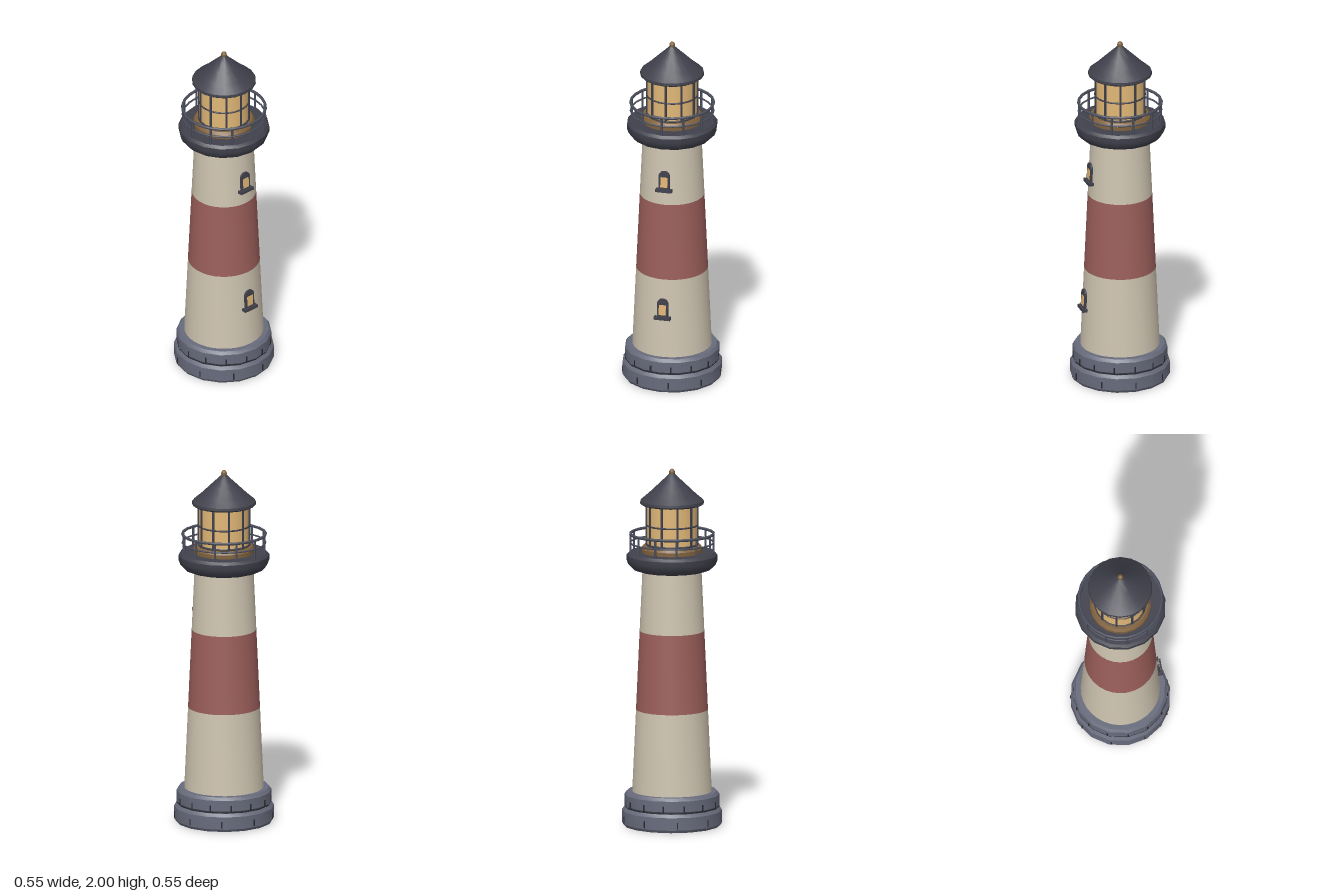
import * as THREE from 'three';
import { toCreasedNormals } from 'three/addons/utils/BufferGeometryUtils.js';

const paint = (name, color) => {
  const m = new THREE.MeshStandardMaterial({ color });
  m.name = name;
  return m;
};

export function createModel() {
  const model = new THREE.Group();
  model.name = 'lighthouse';

  const cream = paint('cream', 0xcfc5b1);
  const red = paint('faded red', 0x9c5f5b);
  const stone = paint('blue grey stone', 0x686b7c);
  const slate = paint('dark slate', 0x41414d);
  const iron = paint('iron', 0x4b4f5d);
  const joint = paint('dark joint', 0x2a2a32);
  const glass = paint('warm glass', 0xe2b877);
  const brass = paint('brass', 0x80623e);

  const add = (name, geometry, material, parent = model) => {
    const mesh = new THREE.Mesh(geometry, material);
    mesh.name = name;
    parent.add(mesh);
    return mesh;
  };

  // Turned part from [radius, y] points listed from bottom to top
  const turned = (name, points, sides, material, crease = 0.5) => {
    const lathe = new THREE.LatheGeometry(points.map(([r, y]) => new THREE.Vector2(r, y)), sides);
    return add(name, toCreasedNormals(lathe, crease), material);
  };

  // Level ring around the axis
  const ring = (name, radius, tube, y, sides, material) => {
    const mesh = add(name, new THREE.TorusGeometry(radius, tube, 8, sides), material);
    mesh.rotation.x = Math.PI / 2;
    mesh.position.y = y;
  };

  // Copies of one geometry around the axis; angle runs from +z towards +x
  const around = (name, count, offset, radius, y, geometry, material) => {
    const group = new THREE.Group();
    group.name = name + 's';
    for (let i = 0; i < count; i++) {
      const a = offset + (i / count) * Math.PI * 2;
      const mesh = add(name, geometry, material, group);
      mesh.position.set(Math.sin(a) * radius, y, Math.cos(a) * radius);
      mesh.rotation.y = a;
    }
    model.add(group);
  };

  // Stone footing in two bevelled tiers with block joints
  turned('lowerFooting', [[0, 0], [0.268, 0], [0.277, 0.015], [0.277, 0.085], [0.265, 0.103], [0, 0.103]], 16, stone);
  turned('footingGroove', [[0.262, 0.098], [0.262, 0.11]], 16, joint);
  turned('upperFooting', [[0, 0.105], [0.255, 0.105], [0.263, 0.115], [0.263, 0.175], [0.25, 0.192], [0, 0.192]], 16, stone);
  const jointBox = new THREE.BoxGeometry(0.007, 0.037, 0.012);
  around('lowerJoint', 9, Math.PI / 2, 0.271, 0.04, jointBox, joint);
  around('upperJoint', 14, Math.PI / 14, 0.257, 0.128, jointBox, joint);

  // Tapering tower in three painted bands
  const towerRadius = y => 0.22 - ((y - 0.19) / 1.25) * 0.057;
  const band = (name, y0, y1, material) =>
    turned(name, [[towerRadius(y0), y0], [towerRadius(y1), y1]], 32, material);
  band('lowerTower', 0.185, 0.65, cream);
  band('redBand', 0.65, 1.092, red);
  band('upperTower', 1.092, 1.45, cream);

  // Arched windows on the front
  const arch = (w, h) => {
    const s = new THREE.Shape();
    s.moveTo(-w, 0);
    s.lineTo(w, 0);
    s.lineTo(w, h);
    s.absarc(0, h, w, 0, Math.PI, false);
    s.lineTo(-w, 0);
    return s;
  };
  for (const y of [0.42, 1.175]) {
    const window = new THREE.Group();
    window.name = 'window';
    window.position.set(0, y, towerRadius(y + 0.06));
    window.rotation.x = -0.045;
    add('windowFrame', new THREE.ExtrudeGeometry(arch(0.031, 0.087),
      { depth: 0.035, bevelEnabled: false, curveSegments: 10 }), slate, window).position.z = -0.022;
    add('windowPane', new THREE.BoxGeometry(0.04, 0.06, 0.004), glass, window).position.set(0, 0.052, 0.013);
    add('windowSill', new THREE.BoxGeometry(0.092, 0.017, 0.045), slate, window).position.set(0, 0.004, 0.003);
    model.add(window);
  }

  // Gallery deck with a rounded underside
  turned('gallery', [[0, 1.433], [0.195, 1.433], [0.222, 1.443], [0.242, 1.463], [0.252, 1.49],
    [0.252, 1.518], [0.238, 1.533], [0, 1.533]], 16, slate, 0.7);

  // Railing
  around('railPost', 12, 0, 0.23, 1.583, new THREE.CylinderGeometry(0.006, 0.006, 0.11, 8), iron);
  ring('topRail', 0.23, 0.008, 1.636, 24, iron);
  ring('middleRail', 0.23, 0.005, 1.586, 24, iron);

  // Lantern room
  turned('lanternBase', [[0, 1.53], [0.17, 1.53], [0.17, 1.555], [0.158, 1.572], [0, 1.572]], 20, brass);
  turned('lanternGlass', [[0.139, 1.565], [0.139, 1.81]], 20, glass);
  around('mullion', 10, 0, 0.14, 1.687, new THREE.BoxGeometry(0.011, 0.235, 0.011), slate);
  ring('lanternBar', 0.14, 0.005, 1.685, 20, slate);
  ring('lanternLowerBar', 0.14, 0.006, 1.577, 20, slate);

  // Conical roof with a brass finial
  turned('roof', [[0, 1.8], [0.168, 1.8], [0.178, 1.808], [0.176, 1.823], [0.13, 1.862],
    [0.08, 1.91], [0.04, 1.948], [0.013, 1.974], [0, 1.976]], 18, slate, 0.6);
  const finial = add('finial', new THREE.SphereGeometry(0.016, 14, 10), brass);
  finial.scale.y = 1.25;
  finial.position.y = 1.98;

  return model;
}
